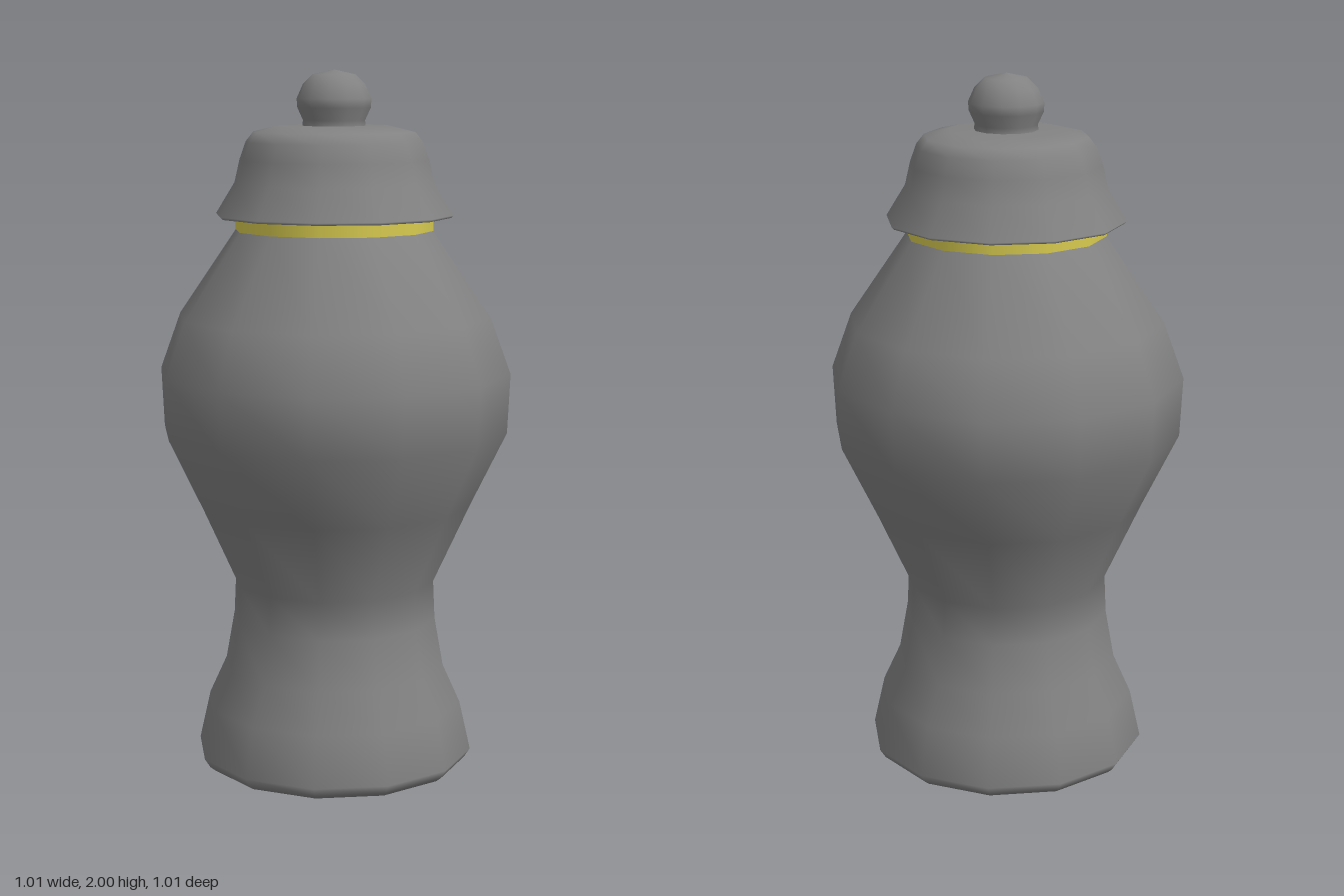
import * as THREE from 'three';

const SIDES = 12;

export function createModel() {
  const urn = new THREE.Group();
  urn.name = 'urn';
  const darkGrey = new THREE.MeshStandardMaterial({ color: 0x828282 });
  const darkGreyShell = new THREE.MeshStandardMaterial({ color: 0x828282, side: THREE.DoubleSide });
  const yellow = new THREE.MeshStandardMaterial({ color: 0xd8cb50 });

  // Revolve a [radius, height] profile, listed from bottom to top
  function turn(name, profile, material) {
    const points = profile.map(([r, y]) => new THREE.Vector2(r, y));
    const mesh = new THREE.Mesh(new THREE.LatheGeometry(points, SIDES), material);
    mesh.name = name;
    urn.add(mesh);
  }

  // Vase: flat bottom, chamfered foot, narrow waist, full belly and shoulder
  turn('vase', [
    [0, 0], [0.37, 0], [0.385, 0.012], [0.402, 0.038],
    [0.37, 0.18], [0.32, 0.29], [0.295, 0.43], [0.29, 0.54],
    [0.395, 0.77], [0.497, 0.98], [0.505, 1.15], [0.447, 1.31], [0.28, 1.555],
  ], darkGrey);

  // Coloured collar, running up inside the lid
  turn('neckBand', [[0.283, 1.553], [0.283, 1.66]], yellow);

  // Lid: open shell with a flared rim, steep wall and flat top
  turn('lid', [
    [0.332, 1.59], [0.339, 1.597], [0.285, 1.685], [0.27, 1.75],
    [0.252, 1.8], [0.23, 1.828], [0.16, 1.845], [0, 1.845],
  ], darkGreyShell);

  // Rounded knob on a short neck
  turn('knob', [
    [0.09, 1.843], [0.088, 1.86], [0.104, 1.895], [0.106, 1.92],
    [0.088, 1.96], [0.06, 1.987], [0, 2],
  ], darkGrey);

  return urn;
}
